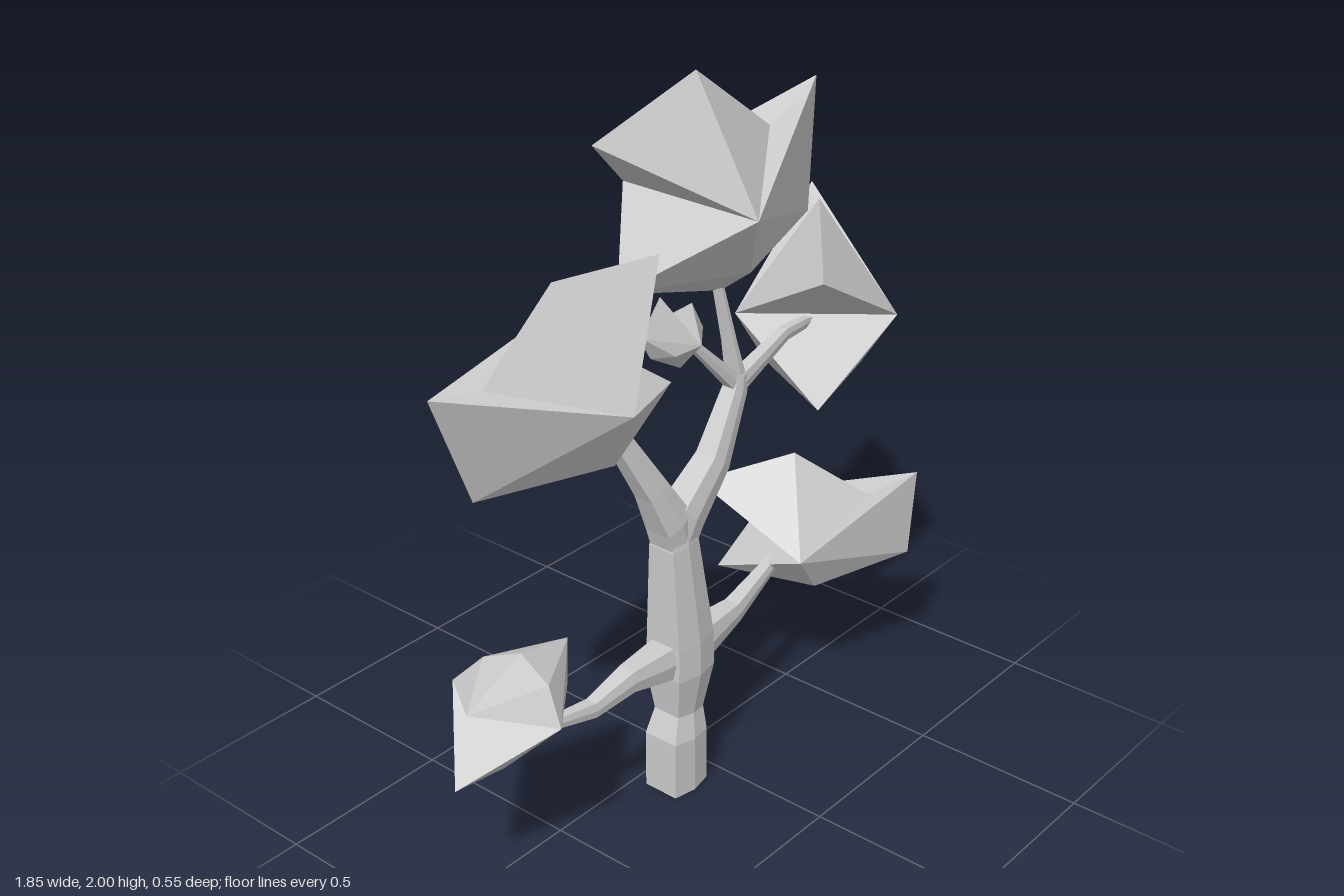
import * as THREE from 'three';

const bark = new THREE.MeshStandardMaterial({ color: 0xcccccc, flatShading: true });
const leaf = new THREE.MeshStandardMaterial({ color: 0xcccccc, flatShading: true });

function facets(name, points, faces, material) {
  const geo = new THREE.BufferGeometry();
  geo.setAttribute('position', new THREE.Float32BufferAttribute(points.flat(), 3));
  geo.setIndex(faces.flat());
  const flat = geo.toNonIndexed();
  flat.computeVertexNormals();
  const mesh = new THREE.Mesh(flat, material);
  mesh.name = name;
  return mesh;
}

// Six-sided section: flat sides with a low ridge at front and back
const section = [[1, 0.8], [1, -0.8], [0, -1], [-1, -0.8], [-1, 0.8], [0, 1]];

// Tapered limb; each stop is [x, y, z, radius]
function limb(name, stops) {
  const sides = section.length, points = [], faces = [];
  stops.forEach(([x, y, z, r], i) => {
    const a = stops[Math.max(i - 1, 0)], b = stops[Math.min(i + 1, stops.length - 1)];
    const len = Math.hypot(b[0] - a[0], b[1] - a[1]);
    const nx = (b[1] - a[1]) / len, ny = -(b[0] - a[0]) / len;
    for (const [u, v] of section) points.push([x + nx * u * r, y + ny * u * r, z + v * r]);
  });
  for (let i = 0; i < stops.length - 1; i++) {
    for (let s = 0; s < sides; s++) {
      const a = i * sides + s, b = i * sides + (s + 1) % sides;
      faces.push([a, b, b + sides], [a, b + sides, a + sides]);
    }
  }
  const end = (stops.length - 1) * sides;
  for (let s = 1; s < sides - 1; s++) {
    faces.push([0, s + 1, s], [end, end + s, end + s + 1]);
  }
  return facets(name, points, faces, bark);
}

// Faceted leaf clump: a jagged outline joined to a front and a back apex,
// with one deep notch where the outline opens between the two apexes.
// The outline point at index tip is blunted by a bulge on each face.
function clump(name, front, back, outline, tip) {
  const n = front.map((v, i) => v - back[i]);
  const mid = front.map((v, i) => (v + back[i]) / 2);
  const ring = outline.map(([x, y]) =>
    [x, y, mid[2] - (n[0] * (x - mid[0]) + n[1] * (y - mid[1])) / n[2]]);
  const bulge = (apex) => apex.map((v, i) =>
    v + 0.65 * (ring[tip][i] - v) + 0.25 * (v - mid[i]));
  const points = [front, back, bulge(front), bulge(back), ...ring];
  const faces = [];
  for (let i = 4; i < points.length - 1; i++) {
    const j = i + 1, t = tip + 4;
    if (i === t || j === t) {
      const a = i === t ? 2 : i, b = j === t ? 2 : j;
      faces.push([0, a, b], [2, i, j]);
      faces.push([1, b === 2 ? 3 : b, a === 2 ? 3 : a], [3, j, i]);
    } else {
      faces.push([0, i, j], [1, j, i]);
    }
  }
  faces.push([0, 1, 4], [0, points.length - 1, 1]);
  return facets(name, points, faces, leaf);
}

// Standard clump shape, measured from its peak
function peakedClump(name, position, yaw, scale) {
  const mesh = clump(name, [-0.03, -0.33, 0.23], [-0.02, -0.33, -0.22], [
    [-0.29, -0.5], [0.1, -0.61], [0.46, -0.49], [0.48, -0.12],
    [0.29, -0.21], [0, 0], [-0.37, -0.1]], 1);
  mesh.position.set(...position);
  mesh.rotation.y = yaw;
  mesh.scale.set(...scale);
  return mesh;
}

export function createModel() {
  const tree = new THREE.Group();
  tree.name = 'tree';

  // Trunk and limbs
  tree.add(
    limb('trunk', [
      [-0.125, 0, 0.093, 0.067], [-0.125, 0.17, 0.093, 0.067], [-0.11, 0.24, 0.09, 0.053],
      [-0.105, 0.37, 0.09, 0.074], [-0.105, 0.47, 0.09, 0.072],
      [-0.13, 0.77, 0.09, 0.052], [-0.125, 0.85, 0.09, 0.04]]),
    limb('upperLeftLimb', [
      [-0.13, 0.77, 0.09, 0.048], [-0.15, 0.84, 0.09, 0.05],
      [-0.215, 0.96, 0.085, 0.036], [-0.305, 1.12, 0.06, 0.027]]),
    limb('upperRightLimb', [
      [-0.13, 0.77, 0.09, 0.048], [-0.095, 0.84, 0.09, 0.052], [0.035, 0.945, 0.085, 0.04],
      [0.145, 1.11, 0.07, 0.028], [0.155, 1.15, 0.07, 0.022]]),
    limb('crownTwig', [[0.155, 1.11, 0.07, 0.024], [0.13, 1.25, 0.06, 0.016], [0.095, 1.45, 0.04, 0.011]]),
    limb('rightTwig', [
      [0.14, 1.12, 0.07, 0.025], [0.38, 1.185, 0.05, 0.017], [0.47, 1.18, 0.04, 0.015], [0.55, 1.17, 0.03, 0.008]]),
    limb('innerTwig', [[0.15, 1.12, 0.07, 0.022], [-0.02, 1.29, 0.06, 0.012], [-0.08, 1.34, 0.055, 0.01]]),
    limb('lowerLeftBranch', [
      [-0.1, 0.42, 0.09, 0.052], [-0.18, 0.425, 0.09, 0.048], [-0.32, 0.435, 0.09, 0.032],
      [-0.45, 0.405, 0.08, 0.022], [-0.64, 0.43, 0.06, 0.012]]),
    limb('lowerRightBranch', [
      [-0.1, 0.42, 0.09, 0.052], [-0.03, 0.42, 0.09, 0.048], [0.13, 0.435, 0.085, 0.029],
      [0.33, 0.485, 0.06, 0.018], [0.42, 0.51, 0.04, 0.014]]));

  // Foliage
  tree.add(
    peakedClump('crownFoliage', [0.02, 2.0, 0.03], 0, [1, 1, 1]),
    peakedClump('upperRightFoliage', [0.55, 1.52, 0.025], 0.7, [1, 1, 1]),
    peakedClump('lowerRightFoliage', [0.47, 0.78, 0.03], -0.72, [0.75, 0.71, 1]),
    clump('upperLeftFoliage', [-0.45, 1.3, 0.24], [-0.31, 1.39, -0.19], [
      [-0.23, 1.62], [-0.51, 1.61], [-0.655, 1.35], [-0.79, 1.36],
      [-0.64, 1.02], [-0.33, 1.02], [-0.13, 1.23]], 5),
    clump('lowerLeftFoliage', [-0.69, 0.52, 0.2], [-0.74, 0.55, -0.13], [
      [-0.92, 0.39], [-0.71, 0.33], [-0.44, 0.43], [-0.45, 0.59], [-0.66, 0.66], [-0.88, 0.6]], 4),
    clump('innerFoliage', [-0.08, 1.33, 0.14], [-0.1, 1.34, -0.03], [
      [0.05, 1.31], [-0.01, 1.4], [-0.1, 1.4], [-0.16, 1.47],
      [-0.23, 1.38], [-0.19, 1.31], [-0.05, 1.23]], 5));
  return tree;
}
